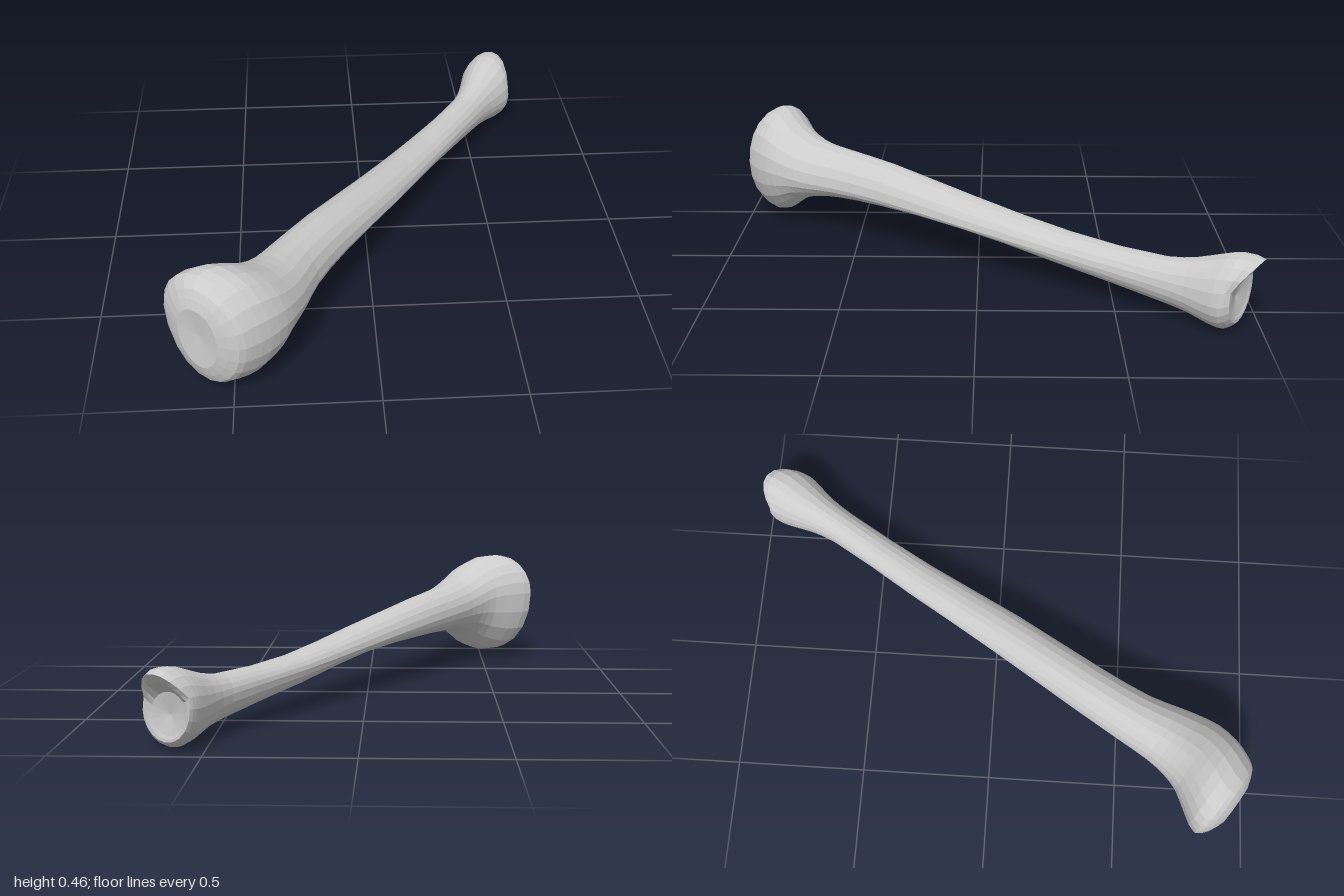
import * as THREE from 'three';

const SIDES = 20;
const STEPS = 2; // rings per section

// Cross-sections along the bone: distance along the axis, left and right
// extent, bottom and top height, and how high up the side ridges sit (0 to 1)
const SECTIONS = [
  [-1.115, -0.08, 0.08, 0.13, 0.37, 0.5],
  [-1.09, -0.14, 0.15, 0.06, 0.435, 0.5],
  [-1.05, -0.178, 0.178, 0.035, 0.462, 0.5],
  [-0.98, -0.14, 0.205, 0.03, 0.465, 0.5],
  [-0.90, -0.085, 0.217, 0.065, 0.43, 0.5],
  [-0.83, -0.062, 0.212, 0.115, 0.395, 0.45],
  [-0.75, -0.05, 0.198, 0.145, 0.37, 0.38],
  [-0.62, -0.048, 0.168, 0.16, 0.352, 0.33],
  [-0.40, -0.046, 0.152, 0.165, 0.33, 0.3],
  [0.0, -0.034, 0.146, 0.158, 0.272, 0.25],
  [0.42, -0.028, 0.124, 0.1, 0.218, 0.45],
  [0.83, -0.023, 0.117, 0.05, 0.212, 0.48],
  [0.94, -0.042, 0.123, 0.032, 0.232, 0.44],
  [1.03, -0.072, 0.14, 0.008, 0.262, 0.42],
  [1.08, -0.085, 0.146, 0.005, 0.283, 0.4],
  [1.115, -0.085, 0.125, 0.03, 0.27, 0.4],
  [1.11, -0.06, 0.09, 0.05, 0.2, 0.48],
];
// How far the upper lip of the ankle end overhangs, by section number
const LIP = { 14: 0.03, 15: 0.07 };

// Axis frame (along, across, up) to model space
const place = (s, t, y) => new THREE.Vector3(0.545 * s + 0.838 * t, y, -0.838 * s + 0.545 * t);

// Point j on a section: four quarter ellipses that meet at the ridges
function sectionPoint([s, left, right, y0, y1, ridgeAt], lip, j) {
  const a = (j / SIDES) * Math.PI * 2;
  const c = Math.cos(a), n = Math.sin(a);
  const mid = left + (right - left) * (n > 0 ? 0.43 : 0.55);
  const t = mid + (c > 0 ? right - mid : mid - left) * c;
  const ridge = y0 + (y1 - y0) * (ridgeAt + 0.06 * (1 - c));
  const y = ridge + (n > 0 ? y1 - ridge : ridge - y0) * n;
  return place(s + lip * Math.max(0, n - 0.35) / 0.65, t, y);
}

// Skin over the sections, closed by a fan at each end
function boneGeometry() {
  const rings = (SECTIONS.length - 1) * STEPS;
  const last = rings * SIDES;
  const positions = [], index = [];
  const columns = [];
  for (let j = 0; j < SIDES; j++) {
    const points = SECTIONS.map((section, i) => sectionPoint(section, LIP[i] ?? 0, j));
    columns.push(new THREE.CatmullRomCurve3(points));
  }
  for (let i = 0; i <= rings; i++) {
    for (const column of columns) positions.push(...column.getPoint(i / rings).toArray());
  }
  const start = positions.length / 3, end = start + 1;
  positions.push(...place(-1.105, 0, 0.26).toArray(), ...place(1.095, 0.02, 0.12).toArray());
  for (let j = 0; j < SIDES; j++) {
    const k = (j + 1) % SIDES;
    for (let i = 0; i < rings; i++) {
      const a = i * SIDES + j, b = i * SIDES + k;
      index.push(a, a + SIDES, b, b, a + SIDES, b + SIDES);
    }
    index.push(start, j, k, end, last + k, last + j);
  }
  const geometry = new THREE.BufferGeometry();
  geometry.setAttribute('position', new THREE.Float32BufferAttribute(positions, 3));
  geometry.setIndex(index);
  geometry.computeVertexNormals();
  return geometry;
}

export function createModel() {
  const group = new THREE.Group();
  group.name = 'shinBone';
  const material = new THREE.MeshStandardMaterial({ color: 0xcccccc, flatShading: true });
  const bone = new THREE.Mesh(boneGeometry(), material);
  bone.name = 'boneShaftAndEnds';
  group.add(bone);
  return group;
}
